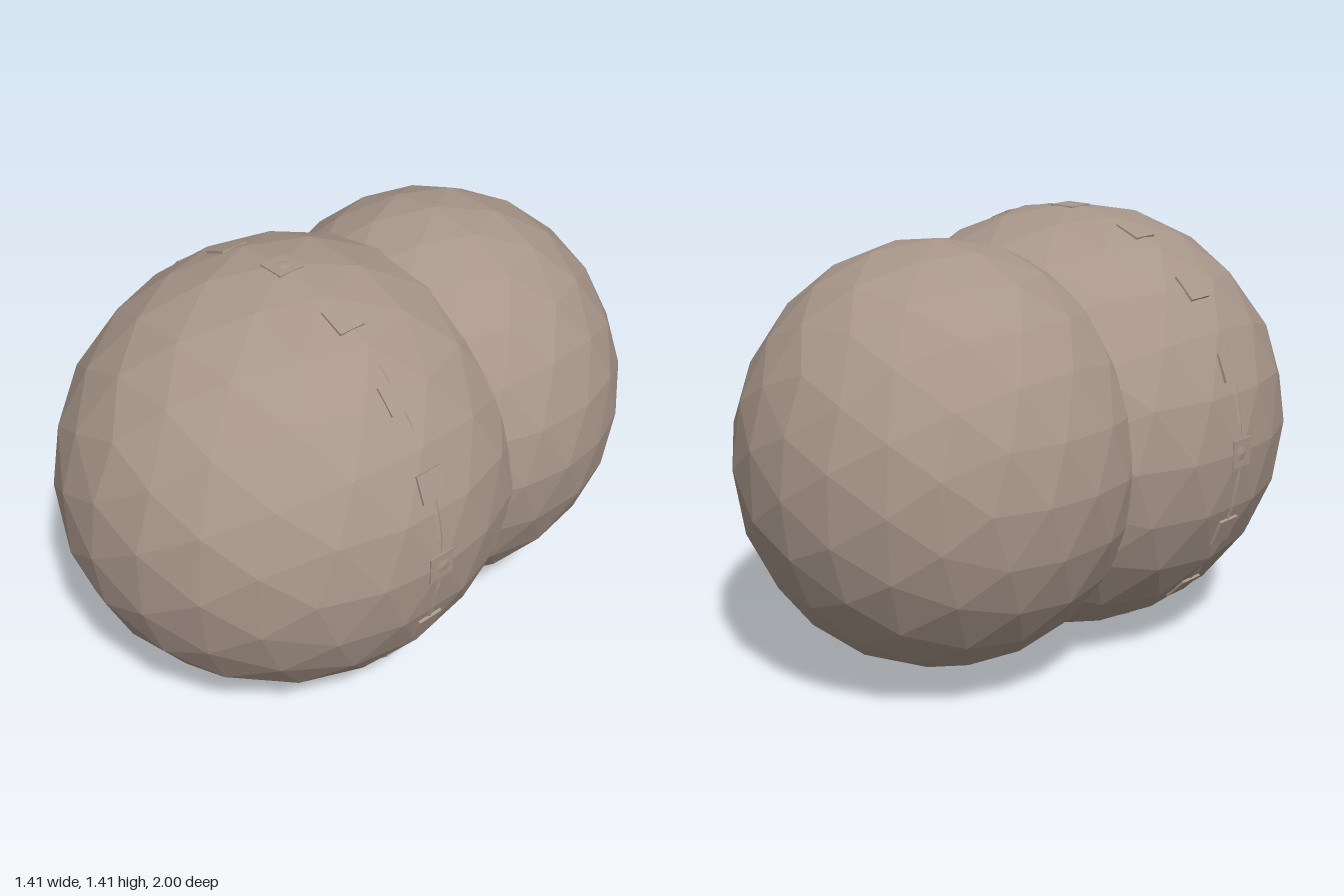
import * as THREE from 'three';

const material = new THREE.MeshStandardMaterial({ color: 0xa8968a, flatShading: true });

// Evenly subdivided icosphere: each pass splits every face in four
function icosphere(passes) {
  let geo = new THREE.IcosahedronGeometry(1, 0);
  for (let i = 0; i < passes; i++) {
    const points = Array.from(geo.attributes.position.array);
    const faces = Array.from({ length: points.length / 3 }, (_, k) => k);
    geo = new THREE.PolyhedronGeometry(points, faces, 1, 1);
  }
  return geo;
}

export function createModel() {
  const group = new THREE.Group();
  const centreY = 0.705, seamZ = 0.255, radius = 0.705;

  const add = (name, geo, x, y, z) => {
    const mesh = new THREE.Mesh(geo, material);
    mesh.name = name;
    mesh.position.set(x, y, z);
    group.add(mesh);
    return mesh;
  };

  // Two overlapping faceted lobes
  const sphere = icosphere(2);
  add('frontLobe', sphere, 0, centreY, 0.25).scale.set(radius, radius, 0.75);
  add('backLobe', sphere, 0, centreY, -0.365).scale.set(0.632, 0.667, 0.635);

  // Thin band, barely proud of the front lobe
  add('seamBand', new THREE.TorusGeometry(0.68, 0.02, 6, 48), 0, centreY, seamZ);

  // Studs evenly spaced round the band
  const stud = new THREE.BoxGeometry(0.09, 0.09, 0.09);
  const count = 16, studRadius = 0.656;
  for (let i = 0; i < count; i++) {
    const a = (i / count) * Math.PI * 2;
    add('seamStud', stud, Math.cos(a) * studRadius, centreY + Math.sin(a) * studRadius, seamZ).rotation.z = a;
  }
  return group;
}
